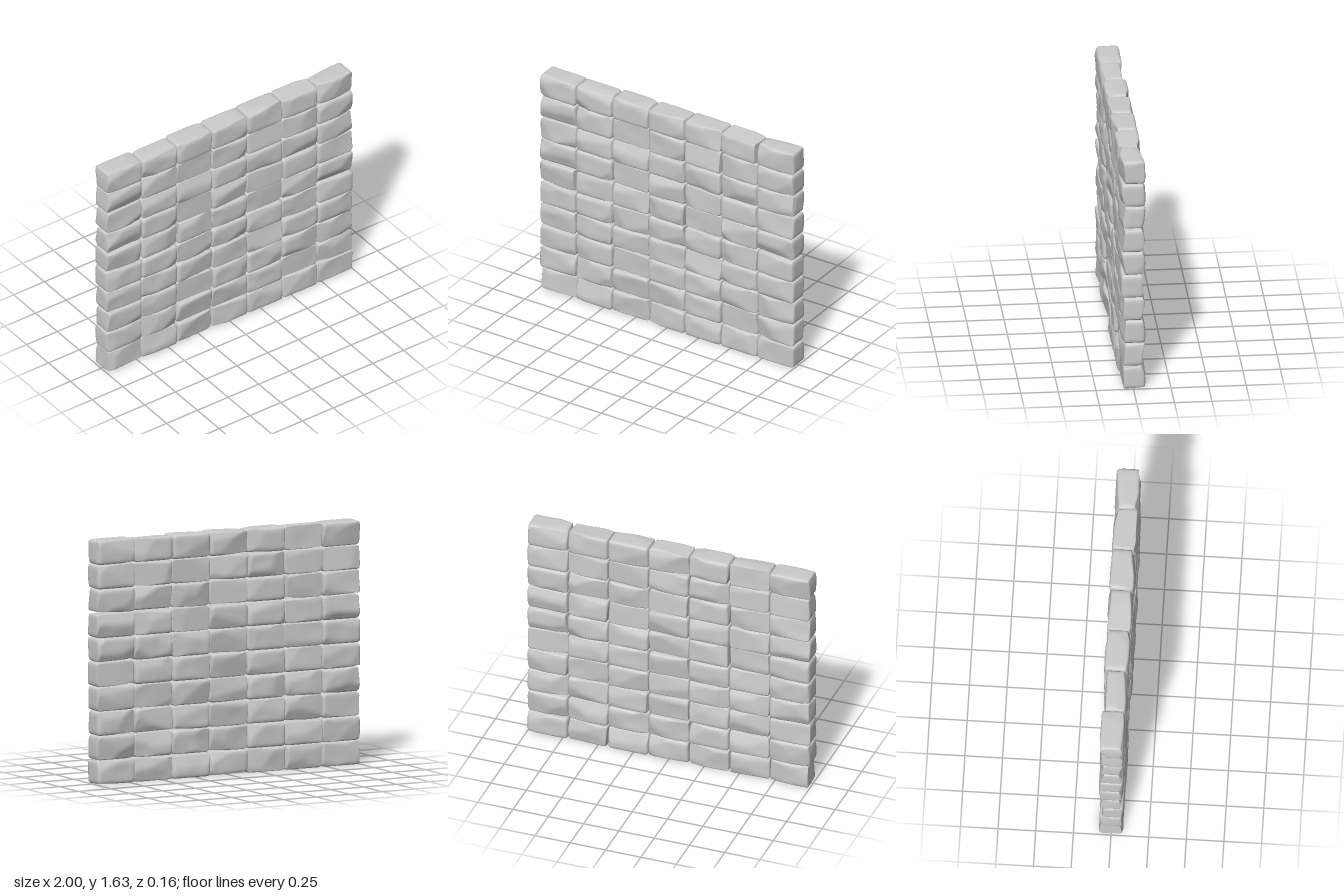
import * as THREE from 'three';
import { mergeVertices } from 'three/addons/utils/BufferGeometryUtils.js';

const COLS = 7, ROWS = 10;
const W = 2 / COLS, H = 0.1635, D = 0.162;
const EDGE = 0.024;

// small seeded generator
function seeded(seed) {
  let s = seed;
  return () => {
    s = (s + 0x6d2b79f5) | 0;
    let t = Math.imul(s ^ (s >>> 15), 1 | s);
    t = (t + Math.imul(t ^ (t >>> 7), 61 | t)) ^ t;
    return ((t ^ (t >>> 14)) >>> 0) / 4294967296;
  };
}

// Rounded block whose faces are chiselled by random shallow planes and soft waves
function stoneGeometry(rand) {
  const half = new THREE.Vector3(W / 2 - 0.0005, H / 2 - 0.0005, D / 2);
  const inner = half.clone().subScalar(EDGE);
  const range = (a, b) => a + (b - a) * rand();

  // chisel cuts: three each on front and back, one each on top, bottom and ends
  const cuts = [];
  const addCut = (x, y, z, depth) => {
    const n = new THREE.Vector3(x, y, z).normalize();
    const reach = Math.abs(n.x) * half.x + Math.abs(n.y) * half.y + Math.abs(n.z) * half.z;
    cuts.push({ n, d: reach - depth });
  };
  for (const s of [-1, 1]) {
    for (let i = 0; i < 3; i++) addCut(range(-0.28, 0.28), range(-0.5, 0.5), s, range(0.012, 0.034));
    addCut(range(-0.12, 0.12), s, range(-0.3, 0.3), range(0.006, 0.018));
    addCut(s, range(-0.2, 0.2), range(-0.3, 0.3), range(0.006, 0.018));
  }
  const phase = [range(0, 6.28), range(0, 6.28)];
  const freq = [range(12, 24), range(14, 30)];

  let geo = new THREE.BoxGeometry(2, 2, 2, 14, 9, 9);
  geo.deleteAttribute('uv');
  geo.deleteAttribute('normal');
  geo = mergeVertices(geo, 1e-4);
  const pos = geo.attributes.position;
  const p = new THREE.Vector3(), core = new THREE.Vector3();
  const crowd = (u) => 0.55 * u + 0.45 * Math.sin(u * Math.PI / 2); // denser near the edges
  for (let i = 0; i < pos.count; i++) {
    p.fromBufferAttribute(pos, i);
    p.set(crowd(p.x), crowd(p.y), crowd(p.z)).multiply(half);
    core.copy(p).clamp(inner.clone().negate(), inner);
    p.sub(core).normalize().multiplyScalar(EDGE).add(core);
    for (const { n, d } of cuts) {
      const over = n.dot(p) - d;
      if (over > 0) p.addScaledVector(n, -over);
    }
    // gentle inward hollows on the broad faces
    const wave = Math.sin(p.x * freq[0] + phase[0]) * Math.sin(p.y * freq[1] + phase[1]);
    p.z *= 1 - 0.05 * Math.max(0, wave);
    pos.setXYZ(i, p.x, p.y, p.z);
  }
  geo.computeVertexNormals();
  return geo;
}

export function createModel() {
  const wall = new THREE.Group();
  wall.name = 'stoneWall';
  const material = new THREE.MeshStandardMaterial({ color: 0xcccccc });
  const rand = seeded(71);

  // stacked courses of blocks with aligned joints
  for (let r = 0; r < ROWS; r++) {
    const course = new THREE.Group();
    course.name = `course${r + 1}`;
    course.position.y = (r + 0.5) * H;
    for (let c = 0; c < COLS; c++) {
      const stone = new THREE.Mesh(stoneGeometry(rand), material);
      stone.name = `stone${c + 1}`;
      stone.position.x = (c + 0.5) * W - 1;
      course.add(stone);
    }
    wall.add(course);
  }
  return wall;
}
